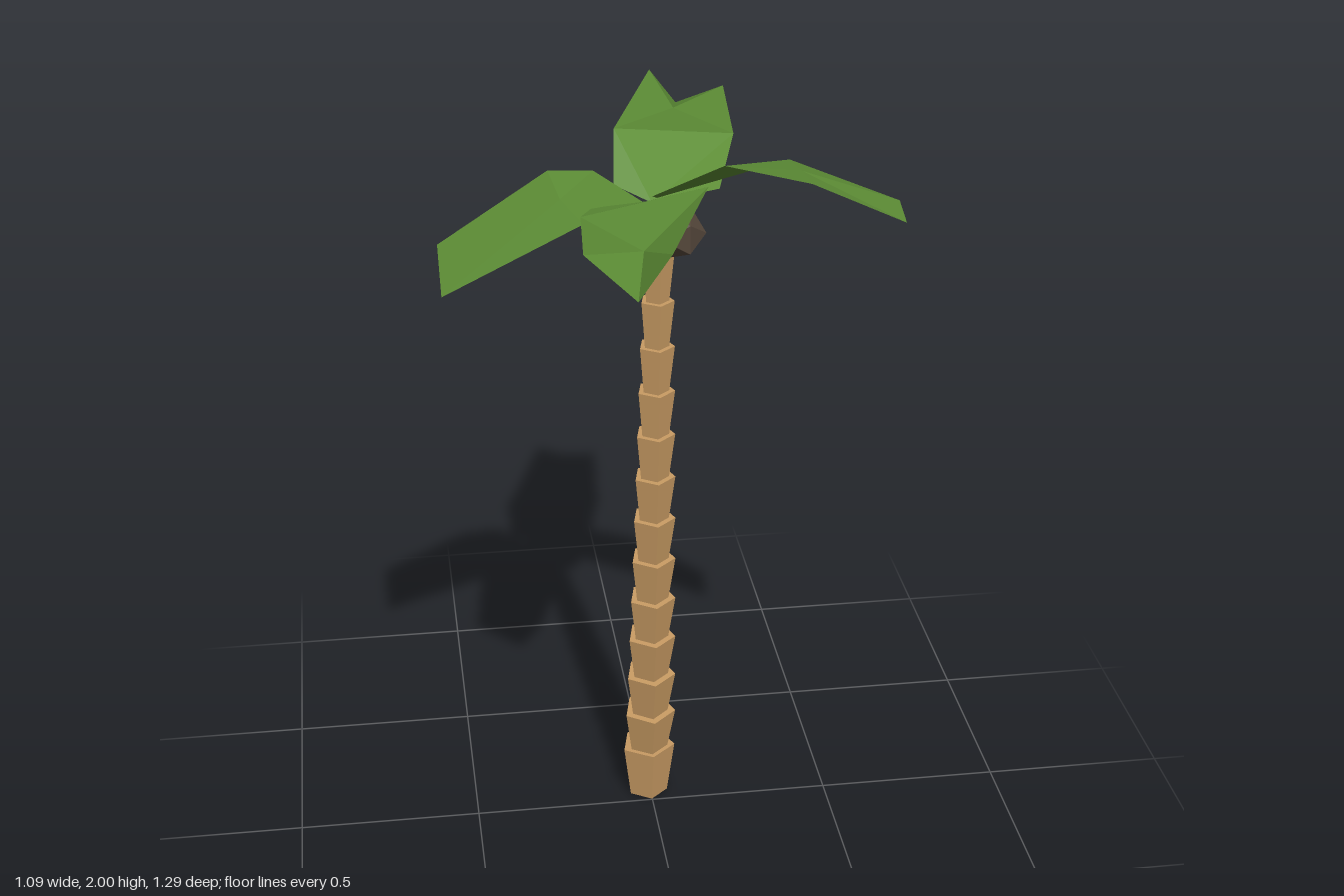
import * as THREE from 'three';

const flat = (color, extra = {}) => new THREE.MeshStandardMaterial({ color, flatShading: true, ...extra });
const bark = flat(0xc89b63);
const husk = flat(0x54463a);
const frondGreen = flat(0x5c8c35, { side: THREE.DoubleSide });

function addMesh(group, name, geometry, material) {
  const mesh = new THREE.Mesh(geometry, material);
  mesh.name = name;
  group.add(mesh);
  return mesh;
}

// Trunk centre line: leans back at the foot and straightens upwards
function trunkPoint(y) {
  const t = Math.min(y / 1.72, 1);
  return new THREE.Vector3(-0.007 + 0.02 * t, y, -0.066 * Math.pow(1 - t, 2.2));
}

// Stacked five-sided collars, each flaring towards its top
function createTrunk() {
  const trunk = new THREE.Group();
  trunk.name = 'trunk';
  const count = 13;
  for (let i = 0; i < count; i++) {
    const y0 = i === 0 ? 0 : 0.025 + i * 0.1275;
    const y1 = 0.03 + (i + 1) * 0.1275;
    const a = trunkPoint(y0), b = trunkPoint(y1);
    const rTop = 0.077 - 0.034 * (i / (count - 1));
    const geometry = new THREE.CylinderGeometry(rTop, rTop * 0.73, a.distanceTo(b), 5);
    geometry.rotateY(0.09);
    const collar = addMesh(trunk, 'trunkSegment' + (i + 1), geometry, bark);
    collar.position.lerpVectors(a, b, 0.5);
    if (i > 0) collar.quaternion.setFromUnitVectors(new THREE.Vector3(0, 1, 0), b.sub(a).normalize());
  }
  return trunk;
}

// Cluster of faceted coconuts under the crown
function createCoconuts() {
  const coconuts = new THREE.Group();
  coconuts.name = 'coconuts';
  for (let i = 0; i < 4; i++) {
    const angle = 0.5 + i * Math.PI / 2;
    const nut = addMesh(coconuts, 'coconut' + (i + 1), new THREE.IcosahedronGeometry(0.072, 0), husk);
    nut.position.set(0.015 + 0.052 * Math.cos(angle), 1.75, 0.048 * Math.sin(angle));
    nut.rotation.set(i * 1.3, i * 0.9 + 0.4, i * 0.6);
  }
  return coconuts;
}

// A frond is two fans of facets: the base around its root, the blade around its crease point
function frondGeometry({ root, base, crease, blade }) {
  const positions = [];
  const fan = (hub, rim) => {
    for (let i = 0; i < rim.length - 1; i++) positions.push(...hub, ...rim[i], ...rim[i + 1]);
  };
  const first = blade[0], last = blade[blade.length - 1];
  fan(root, [base[0], first, last, base[1]]);
  fan(crease, [...blade, first]);
  const geometry = new THREE.BufferGeometry();
  geometry.setAttribute('position', new THREE.Float32BufferAttribute(positions, 3));
  geometry.computeVertexNormals();
  return geometry;
}

const fronds = {
  backFrond: {
    root: [0, 1.82, -0.01],
    base: [[0.18, 1.83, -0.06], [-0.09, 1.85, -0.07]],
    crease: [0.12, 1.91, -0.47],
    blade: [[0.245, 1.91, -0.245], [0.275, 1.925, -0.595], [0.152, 1.866, -0.645],
      [0.077, 1.967, -0.63], [-0.073, 1.955, -0.195]],
  },
  frontFrond: {
    root: [-0.02, 1.84, 0.03],
    base: [[-0.165, 1.86, 0.11], [0.06, 1.87, 0.09]],
    crease: [-0.084, 1.885, 0.466],
    blade: [[-0.207, 1.89, 0.243], [-0.238, 1.935, 0.592], [-0.12, 1.835, 0.643],
      [-0.04, 1.94, 0.627], [0.108, 1.935, 0.202]],
  },
  leftFrond: {
    root: [0.01, 1.84, 0.01],
    base: [[-0.015, 1.88, 0.103], [0.18, 1.87, -0.06]],
    crease: [0.33, 1.975, 0.23],
    blade: [[0.14, 2, 0.24], [0.327, 1.993, 0.37], [0.526, 1.935, 0.497],
      [0.543, 1.935, 0.353], [0.33, 1.95, 0.08]],
  },
  rightFrond: {
    root: [-0.02, 1.83, 0.02],
    base: [[-0.08, 1.84, -0.07], [-0.13, 1.83, 0.13]],
    crease: [-0.24, 1.875, 0.08],
    blade: [[-0.138, 1.88, -0.098], [-0.257, 1.9, -0.06], [-0.543, 1.755, 0.035],
      [-0.546, 1.706, 0.252], [-0.197, 1.86, 0.215]],
  },
};

export function createModel() {
  const palm = new THREE.Group();
  palm.name = 'palmTree';
  palm.add(createTrunk(), createCoconuts());

  // Crown of four folded fronds
  const crown = new THREE.Group();
  crown.name = 'crown';
  for (const [name, shape] of Object.entries(fronds)) addMesh(crown, name, frondGeometry(shape), frondGreen);
  palm.add(crown);
  return palm;
}
